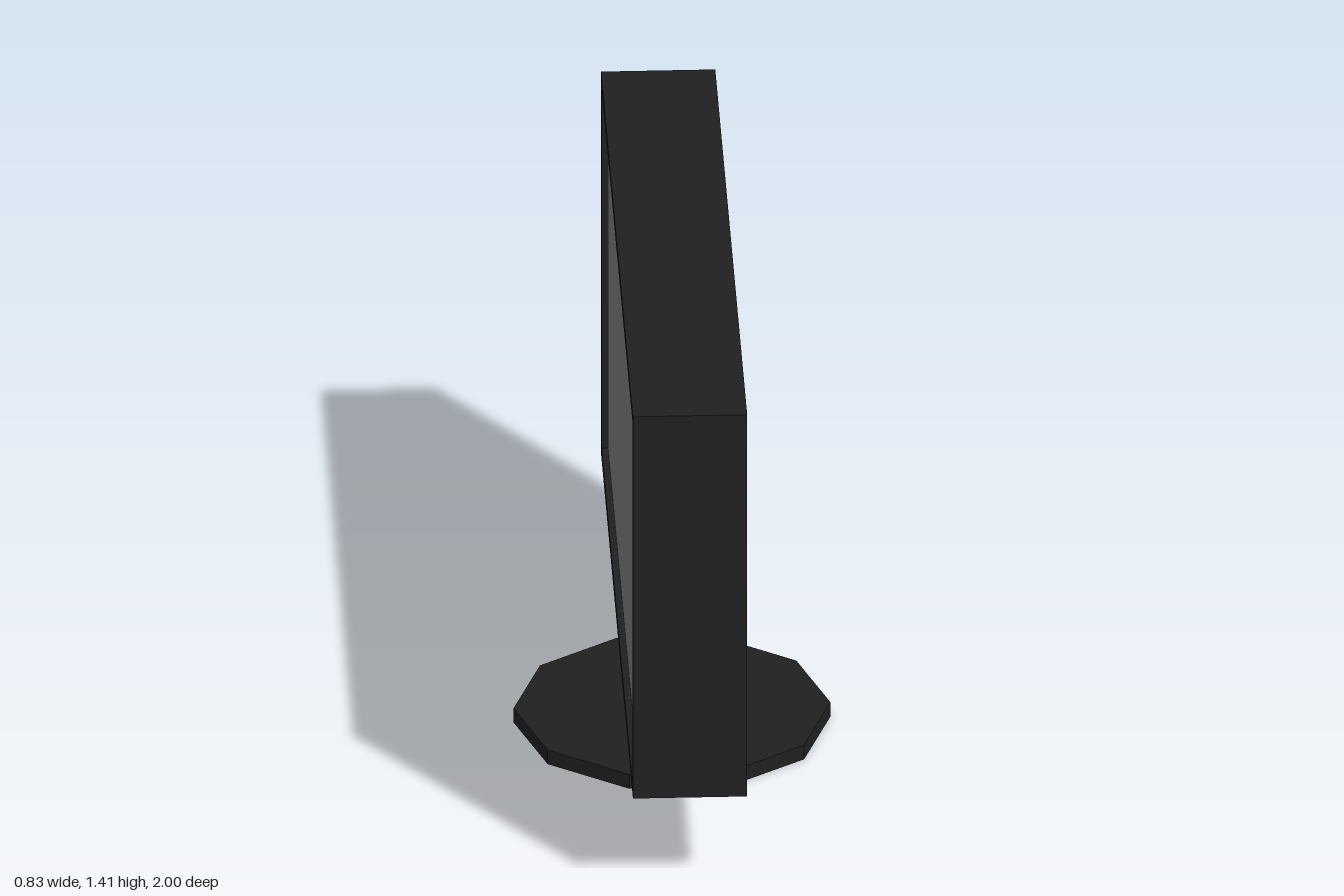
import * as THREE from 'three';

const dark = new THREE.MeshStandardMaterial({ color: 0x202020, flatShading: true });
const glass = new THREE.MeshStandardMaterial({ color: 0x777777, flatShading: true });

const SIDES = 10;
const WIDTH = 2;            // along z
const BOTTOM = 0.285, TOP = 1.408;
const HEIGHT = TOP - BOTTOM, MID_Y = (TOP + BOTTOM) / 2;
const FACE_X = -0.147, BACK_X = 0.153;
const BEZEL = 0.03, RECESS = 0.02;

function addMesh(group, name, geometry, material, x, y, z) {
  const mesh = new THREE.Mesh(geometry, material);
  mesh.name = name;
  mesh.position.set(x, y, z);
  group.add(mesh);
}

function rectangle(path, w, h) {
  path.moveTo(-w / 2, -h / 2);
  path.lineTo(w / 2, -h / 2);
  path.lineTo(w / 2, h / 2);
  path.lineTo(-w / 2, h / 2);
  path.closePath();
  return path;
}

// Ten-sided loft through elliptical rings listed from top to bottom
function loft(rings) {
  const geo = new THREE.CylinderGeometry(1, 1, 1, SIDES, rings.length - 1, true, Math.PI / 2);
  const p = geo.attributes.position;
  for (let i = 0; i < p.count; i++) {
    const r = rings[Math.floor(i / (SIDES + 1))];
    p.setXYZ(i, p.getX(i) * r.rx, r.y, p.getZ(i) * r.rz + r.z);
  }
  const flat = geo.toNonIndexed();
  flat.computeVertexNormals();
  return flat;
}

export function createModel() {
  const model = new THREE.Group();
  model.name = 'monitor';

  // Housing: solid block behind the recess
  const blockDepth = BACK_X - FACE_X - RECESS;
  addMesh(model, 'housing', new THREE.BoxGeometry(blockDepth, HEIGHT, WIDTH), dark,
    BACK_X - blockDepth / 2, MID_Y, 0);

  // Bezel frame around the recessed screen, facing -x
  const frame = rectangle(new THREE.Shape(), WIDTH, HEIGHT);
  frame.holes.push(rectangle(new THREE.Path(), WIDTH - 2 * BEZEL, HEIGHT - 2 * BEZEL));
  const bezel = new THREE.ExtrudeGeometry(frame, { depth: RECESS, bevelEnabled: false });
  bezel.rotateY(-Math.PI / 2);
  addMesh(model, 'bezel', bezel, dark, FACE_X + RECESS, MID_Y, 0);

  // Screen panel at the bottom of the recess
  const panel = new THREE.PlaneGeometry(WIDTH - 2 * BEZEL, HEIGHT - 2 * BEZEL);
  panel.rotateY(-Math.PI / 2);
  addMesh(model, 'screen', panel, glass, FACE_X + RECESS - 0.002, MID_Y, 0);

  // Neck: round at the base, flattened upward, flaring out under the housing
  addMesh(model, 'neck', loft([
    { y: BOTTOM, rx: 0.103, rz: 0.266, z: 0.002 },
    { y: 0.226, rx: 0.055, rz: 0.118, z: 0.002 },
    { y: 0.04, rx: 0.089, rz: 0.087, z: -0.013 },
  ]), dark, 0, 0, 0);

  // Foot: ten-sided disc
  addMesh(model, 'foot',
    new THREE.CylinderGeometry(0.416, 0.416, 0.042, SIDES, 1, false, Math.PI / 2), dark,
    -0.002, 0.021, -0.013);

  return model;
}
